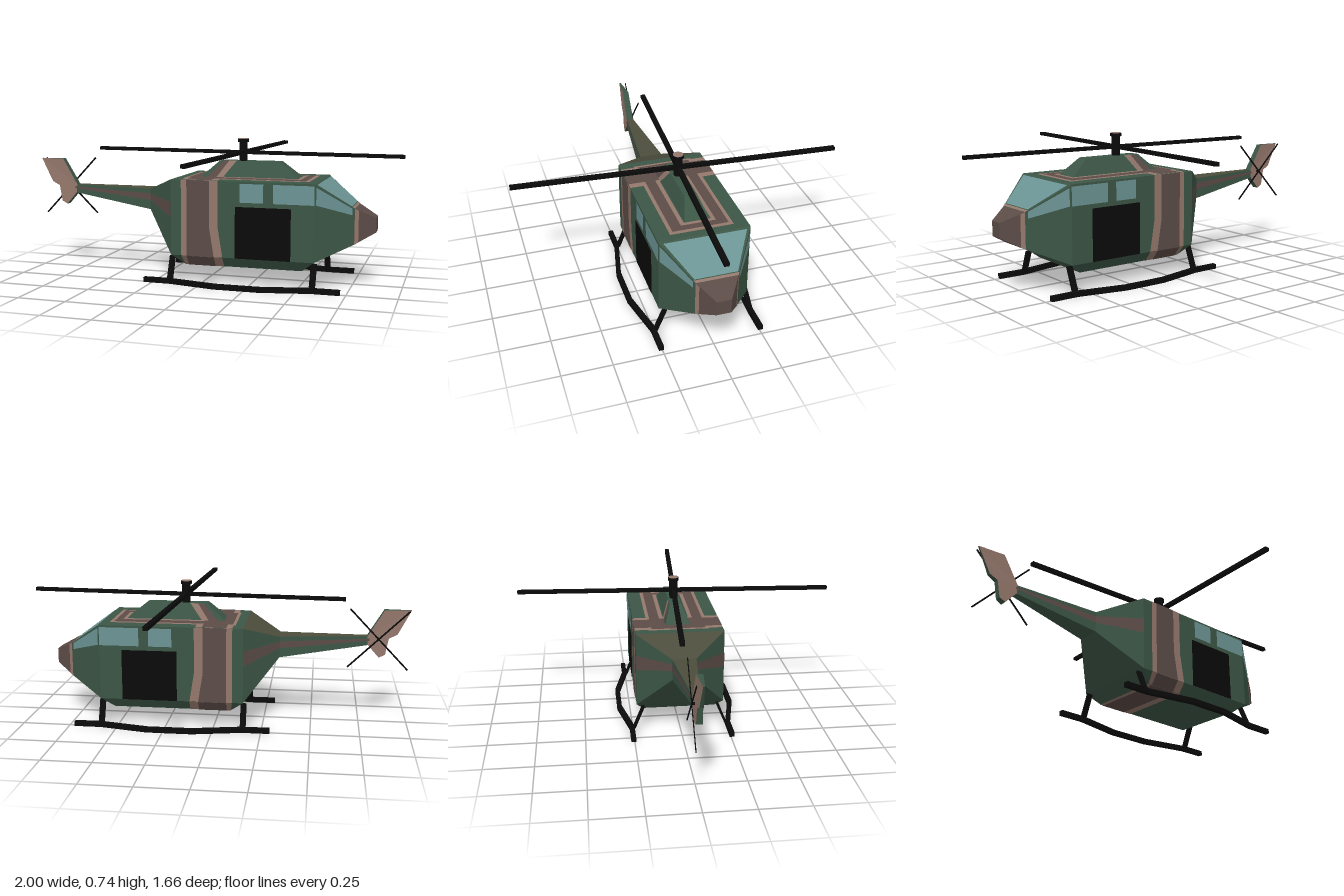
import * as THREE from 'three';

const GREEN = 0x3c5646, BROWN = 0x5c4c48, TAN = 0x94786c, GLASS = 0x6c9494, OLIVE = 0x4c4d3c, BLACK = 0x0a0a0a;
const OUT = { side: [0, 0, 1], top: [0, 1, 0], bottom: [0, -1, 0], front: [1, 0, 0], back: [-1, 0, 0] };

const material = (color) => new THREE.MeshStandardMaterial({ color, flatShading: true });

export function createModel() {
  const model = new THREE.Group();

  function add(name, geometry, color, parent = model) {
    const mesh = new THREE.Mesh(geometry, material(color));
    mesh.name = name;
    parent.add(mesh);
    return mesh;
  }

  // Flat convex panel, turned to face the given way and lifted off the skin
  function panel(name, color, facing, points, lift = 0) {
    const out = new THREE.Vector3(...OUT[facing]);
    const mirrored = facing === 'side' ? [1, -1] : [1];
    for (const s of mirrored) {
      const dir = out.clone();
      dir.z *= s;
      const p = points.map(([x, y, z]) => new THREE.Vector3(x, y, z * s));
      const n = new THREE.Vector3().crossVectors(p[1].clone().sub(p[0]), p[2].clone().sub(p[0])).normalize();
      if (n.dot(dir) < 0) { p.reverse(); n.negate(); }
      p.forEach((v) => v.addScaledVector(n, lift));
      const tris = [];
      for (let i = 1; i < p.length - 1; i++) tris.push(p[0], p[i], p[i + 1]);
      const g = new THREE.BufferGeometry().setFromPoints(tris);
      g.computeVertexNormals();
      add(name, g, color);
    }
  }

  // Box-shaped stations along the body: x, bottom, top, half width
  const tailEnd = [-0.79, 0.42, 0.465, 0.018], tailRoot = [-0.33, 0.35, 0.46, 0.06];
  const cabinBack = [-0.155, 0.145, 0.535, 0.228], cabinFront = [0.585, 0.145, 0.535, 0.228];
  const noseRoot = [0.765, 0.225, 0.405, 0.104], noseTip = [0.865, 0.28, 0.355, 0.036];
  // Point on the skin between two stations; t runs along, v up, w across
  function at(a, b, t, v, w = 1) {
    const m = a.map((q, i) => q + (b[i] - q) * t);
    return [m[0], m[1] + (m[2] - m[1]) * v, m[3] * w];
  }
  const sideQuad = (a, b, t0, t1, lo0, hi0, lo1, hi1) =>
    [at(a, b, t0, lo0), at(a, b, t1, lo1), at(a, b, t1, hi1), at(a, b, t0, hi0)];
  const flatQuad = (a, b, v, t0 = 0, t1 = 1, w = 1) =>
    [at(a, b, t0, v, -w), at(a, b, t1, v, -w), at(a, b, t1, v, w), at(a, b, t0, v, w)];

  // Fuselage skin
  const skin = [
    ['tailBoom', tailEnd, tailRoot, GREEN, OLIVE], ['cabinRear', tailRoot, cabinBack, GREEN, OLIVE],
    ['cabin', cabinBack, cabinFront, GREEN, GREEN], ['cockpit', cabinFront, noseRoot, GREEN, GREEN],
    ['nose', noseRoot, noseTip, BROWN, BROWN],
  ];
  for (const [name, a, b, side, top] of skin) {
    panel(name + 'Side', side, 'side', sideQuad(a, b, 0, 1, 0, 1, 0, 1));
    panel(name + 'Top', top, 'top', flatQuad(a, b, 1));
    if (name !== 'cabin') panel(name + 'Bottom', side, 'bottom', flatQuad(a, b, 0));
  }
  panel('noseTip', BROWN, 'front', [at(noseTip, noseTip, 0, 0), at(noseTip, noseTip, 0, 1),
    at(noseTip, noseTip, 0, 1, -1), at(noseTip, noseTip, 0, 0, -1)]);

  // Tapered block between two rectangles: x0, x1, y, half width
  function taper(name, color, [a0, a1, ay, az], [b0, b1, by, bz]) {
    panel(name + 'Side', color, 'side', [[a0, ay, az], [a1, ay, az], [b1, by, bz], [b0, by, bz]]);
    panel(name + 'Front', color, 'front', [[a1, ay, az], [a1, ay, -az], [b1, by, -bz], [b1, by, bz]]);
    panel(name + 'Back', color, 'back', [[a0, ay, az], [a0, ay, -az], [b0, by, -bz], [b0, by, bz]]);
    panel(name + 'Cap', color, by > ay ? 'top' : 'bottom', [[b0, by, bz], [b1, by, bz], [b1, by, -bz], [b0, by, -bz]]);
  }
  taper('engineCowl', GREEN, [-0.045, 0.475, 0.535, 0.065], [0.05, 0.37, 0.62, 0.032]);
  taper('belly', GREEN, [-0.155, 0.585, 0.145, 0.228], [-0.09, 0.52, 0.093, 0.19]);

  // Camouflage bands down the sides and under the belly
  const bands = [[TAN, -0.1, 0.095, 0.12, 0.0015], [BROWN, -0.07, 0.05, 0.075, 0.003]];
  for (const [color, x0, xTop, xLow, lift] of bands) {
    panel('sideBand', color, 'side', [[x0, 0.145, 0.228], [xLow, 0.145, 0.228], [xTop, 0.3, 0.228], [xTop, 0.535, 0.228], [x0, 0.535, 0.228]], lift);
    panel('bellyEdgeBand', color, 'side', [[x0, 0.145, 0.228], [xLow, 0.145, 0.228], [xLow, 0.093, 0.19], [Math.max(x0, -0.09), 0.093, 0.19]], lift);
    panel('bellyBand', color, 'bottom', rect(Math.max(x0, -0.09), xLow, 0.093, 0.19), lift);
  }

  // Roof camouflage, layered outward
  function rect(x0, x1, y, z) { return [[x0, y, z], [x1, y, z], [x1, y, -z], [x0, y, -z]]; }
  const roof = [[TAN, -0.1, 0.09, 0.228, 1], [TAN, -0.11, 0.545, 0.158, 1], [BROWN, -0.07, 0.055, 0.228, 2],
    [BROWN, -0.095, 0.525, 0.14, 2], [TAN, 0.06, 0.49, 0.088, 3], [GREEN, 0.08, 0.47, 0.068, 4]];
  for (const [color, x0, x1, z, layer] of roof) panel('roofMarking', color, 'top', rect(x0, x1, 0.535, z), layer * 0.0012);
  panel('cowlBand', TAN, 'side', [[0.04, 0.535, 0.065], [0.075, 0.535, 0.065], [0.14, 0.62, 0.032], [0.1, 0.62, 0.032]], 0.002);
  panel('cowlBrownPatch', BROWN, 'side', [[-0.01, 0.535, 0.065], [0.04, 0.535, 0.065], [0.1, 0.62, 0.032], [0.07, 0.62, 0.032]], 0.002);

  // Tail stripe
  panel('tailStripe', BROWN, 'side', sideQuad(tailRoot, cabinBack, 0, 1, 0.45, 0.78, 0.5, 0.7), 0.002);
  panel('tailStripe', BROWN, 'side', sideQuad(tailEnd, tailRoot, 0, 1, 0.5, 0.75, 0.45, 0.78), 0.002);

  // Doors and windows
  const sideRect = (x0, x1, y0, y1) => [[x0, y0, 0.228], [x1, y0, 0.228], [x1, y1, 0.228], [x0, y1, 0.228]];
  panel('doorway', BLACK, 'side', sideRect(0.185, 0.47, 0.145, 0.408), 0.002);
  panel('cabinWindow', GLASS, 'side', sideRect(0.21, 0.33, 0.43, 0.525), 0.002);
  panel('cabinWindow', GLASS, 'side', sideRect(0.38, 0.585, 0.43, 0.525), 0.002);
  panel('cockpitSideWindow', GLASS, 'side', sideQuad(cabinFront, noseRoot, 0.04, 0.94, 0.74, 0.97, 0.8, 0.97), 0.002);
  panel('windshield', GLASS, 'top', flatQuad(cabinFront, noseRoot, 1, 0.05, 0.92, 0.93), 0.002);
  panel('noseTrimTop', TAN, 'top', flatQuad(cabinFront, noseRoot, 1, 0.94, 1), 0.002);
  panel('noseTrimSide', TAN, 'side', sideQuad(noseRoot, noseTip, 0, 0.18, 0, 1, 0, 1), 0.002);

  // Tail fin, thinning toward its trailing edge
  const finShape = new THREE.Shape([[-1, 0.604], [-0.933, 0.476], [-0.89, 0.455], [-0.874, 0.369], [-0.842, 0.353],
    [-0.783, 0.42], [-0.78, 0.465], [-0.863, 0.604]].map(([x, y]) => new THREE.Vector2(x, y)));
  const finGeometry = new THREE.ExtrudeGeometry(finShape, { depth: 2, bevelEnabled: false }).translate(0, 0, -1);
  const pos = finGeometry.attributes.position;
  for (let i = 0; i < pos.count; i++) {
    const half = THREE.MathUtils.clamp(THREE.MathUtils.mapLinear(pos.getX(i), -1, -0.83, 0.004, 0.019), 0.004, 0.019);
    pos.setZ(i, pos.getZ(i) * half);
  }
  finGeometry.computeVertexNormals();
  add('tailFin', finGeometry, TAN).material = [material(TAN), material(GREEN)];

  // Straight bar between two points
  function bar(name, a, b, width, height, extra = 0) {
    const start = new THREE.Vector3(...a), end = new THREE.Vector3(...b);
    const mesh = add(name, new THREE.BoxGeometry(width, height, start.distanceTo(end) + extra), BLACK);
    mesh.position.copy(start).add(end).multiplyScalar(0.5);
    mesh.lookAt(end);
  }

  // Tail rotor
  bar('tailRotorBlade', [-0.99, 0.294, -0.03], [-0.688, 0.61, -0.03], 0.004, 0.008);
  bar('tailRotorBlade', [-0.99, 0.603, -0.03], [-0.682, 0.302, -0.03], 0.004, 0.008);
  add('tailRotorHub', new THREE.CylinderGeometry(0.007, 0.007, 0.03, 8).rotateX(Math.PI / 2), BLACK).position.set(-0.836, 0.453, -0.018);

  // Main rotor
  const rotor = new THREE.Group();
  rotor.name = 'mainRotor';
  rotor.position.x = 0.167;
  model.add(rotor);
  add('mast', new THREE.CylinderGeometry(0.022, 0.022, 0.105, 12), BLACK, rotor).position.y = 0.667;
  add('mastCap', new THREE.CylinderGeometry(0.029, 0.029, 0.016, 12), BLACK, rotor).position.y = 0.726;
  add('mastCapTop', new THREE.CylinderGeometry(0.027, 0.027, 0.002, 12), TAN, rotor).position.y = 0.735;
  for (let k = 0; k < 2; k++) {
    const blade = add('rotorBlade', new THREE.BoxGeometry(1.662, 0.018, 0.024), BLACK, rotor);
    blade.position.y = 0.664;
    blade.rotation.y = k * Math.PI / 2 - 0.06;
  }

  // Landing skids and their struts
  const skid = [[-0.295, 0.255], [-0.155, 0.255], [0.1, 0.308], [0.33, 0.308], [0.58, 0.255], [0.722, 0.255]];
  for (const s of [1, -1]) {
    for (let i = 0; i < skid.length - 1; i++) {
      const [x0, z0] = skid[i], [x1, z1] = skid[i + 1];
      bar('skid', [x0, 0.0125, z0 * s], [x1, 0.0125, z1 * s], 0.025, 0.025, i > 0 && i < 4 ? 0.006 : 0);
    }
    for (const x of [-0.157, 0.582]) bar('skidStrut', [x, 0.015, 0.244 * s], [x, 0.135, 0.194 * s], 0.03, 0.012);
  }
  return model;
}
